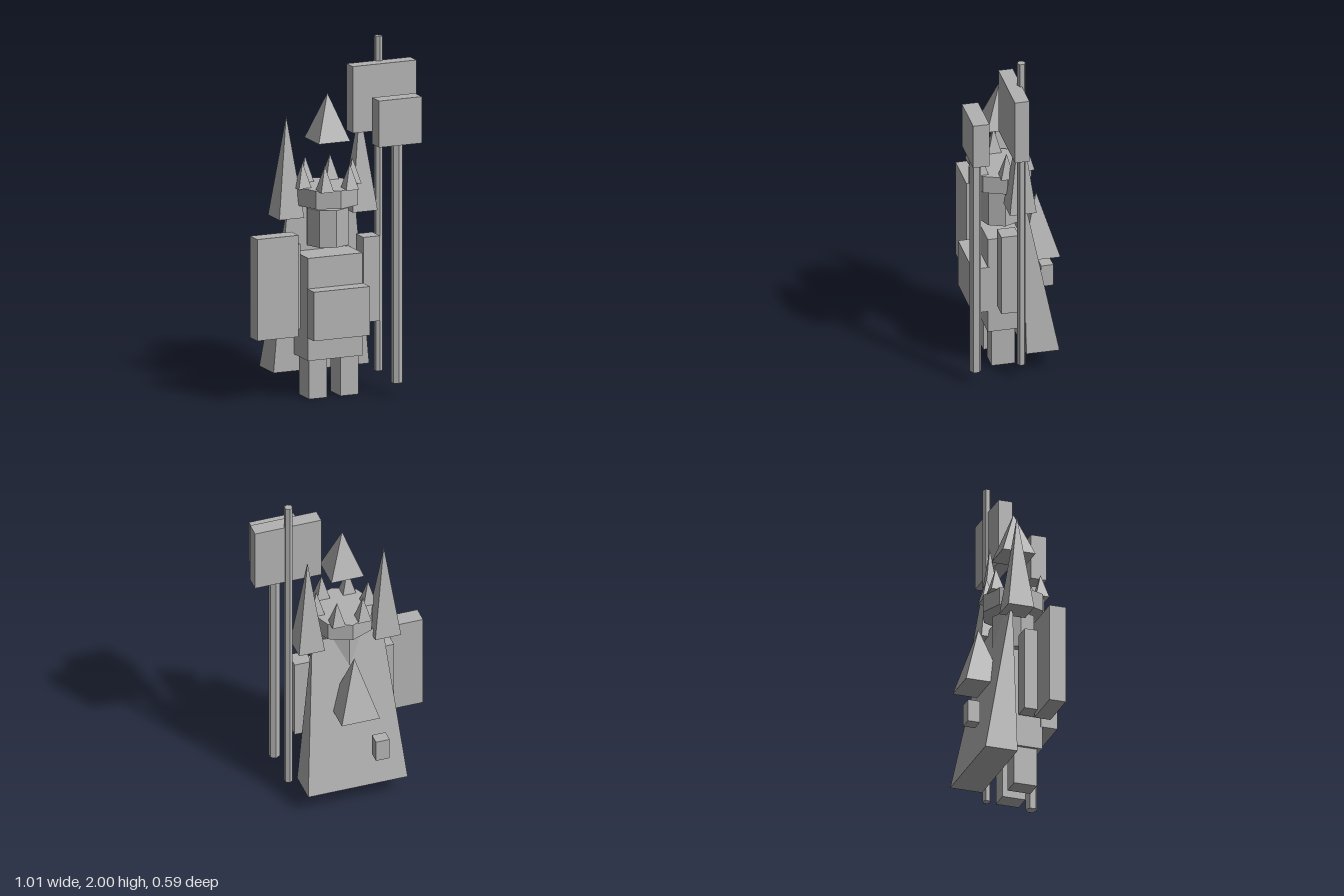
import * as THREE from 'three';

export function createModel() {
  const model = new THREE.Group();
  model.name = 'crownedGuard';
  const stone = new THREE.MeshStandardMaterial({ color: 0xb2b2b2 });
  stone.name = 'stone grey';

  const add = (name, geometry, x = 0, y = 0, z = 0) => {
    let g = geometry;
    if (g.index) g = g.toNonIndexed();
    g.computeVertexNormals(); // flat facets
    const mesh = new THREE.Mesh(g, stone);
    mesh.name = name;
    mesh.position.set(x, y, z);
    model.add(mesh);
    return mesh;
  };
  // Box given by its extents on each axis
  const box = (name, x0, x1, y0, y1, z0, z1) =>
    add(name, new THREE.BoxGeometry(x1 - x0, y1 - y0, z1 - z0), (x0 + x1) / 2, (y0 + y1) / 2, (z0 + z1) / 2);
  // Upright prism with a vertex on the +z axis
  const prism = (name, x, z, r, y0, y1, sides) =>
    add(name, new THREE.CylinderGeometry(r, r, y1 - y0, sides), x, (y0 + y1) / 2, z);
  // Square pyramid with axis-aligned base
  const pyramid = (name, x, z, half, y0, y1) =>
    add(name, new THREE.ConeGeometry(half * Math.SQRT2, y1 - y0, 4).rotateY(Math.PI / 4), x, (y0 + y1) / 2, z);

  const cx = -0.019, cz = 0.03; // body axis

  // Body
  box('torso', -0.186, 0.146, 0.225, 0.81, -0.05, 0.14);
  box('chestPanel', -0.19, 0.151, 0.357, 0.636, 0.13, 0.228);
  for (const s of [-1, 1]) {
    const side = s < 0 ? 'right' : 'left';
    const leg = cx + s * 0.096, arm = cx + s * 0.242;
    box(side + 'Leg', leg - 0.055, leg + 0.055, 0, 0.225, -0.02, 0.115);
    box(side + 'Arm', arm - 0.05, arm + 0.05, 0.4, 0.885, -0.008, 0.094);
    pyramid(side + 'ShoulderSpire', cx + s * 0.224, -0.03, 0.076, 1.02, 1.595);
  }

  // Head and crown
  prism('head', cx, cz, 0.125, 0.858, 1.07, 8);
  prism('crownBand', cx, cz, 0.181, 1.09, 1.193, 8);
  for (let i = 0; i < 6; i++) {
    const a = (i * Math.PI) / 3;
    pyramid('crownSpike', cx + 0.152 * Math.cos(a), cz + 0.152 * Math.sin(a), 0.039, 1.188, 1.333);
  }
  pyramid('floatingSpire', cx, cz, 0.096, 1.45, 1.715);

  // Cape: tapers upward in width, with an upright front and sloping back
  const cape = new THREE.BoxGeometry(1, 1, 1);
  const p = cape.attributes.position;
  for (let i = 0; i < p.count; i++) {
    const top = p.getY(i) > 0, back = p.getZ(i) < 0;
    p.setXYZ(i, cx + Math.sign(p.getX(i)) * (top ? 0.207 : 0.292),
      top ? 1.063 : 0.128, back ? (top ? -0.058 : -0.239) : -0.05);
  }
  add('cape', cape);
  pyramid('backSpire', cx, -0.177, 0.112, 0.615, 0.98);
  box('pouch', -0.185, -0.105, 0.33, 0.46, -0.297, -0.227);

  // Held items
  box('shield', -0.508, -0.256, 0.375, 0.954, 0.068, 0.164);
  prism('frontPole', 0.304, 0.25, 0.033, 0.08, 1.5, 6);
  box('frontSign', 0.175, 0.437, 1.44, 1.705, 0.202, 0.295);
  prism('bannerPole', 0.311, -0.011, 0.024, 0.093, 2, 6);
  box('banner', 0.117, 0.506, 1.48, 1.86, -0.01, 0.073);
  return model;
}
